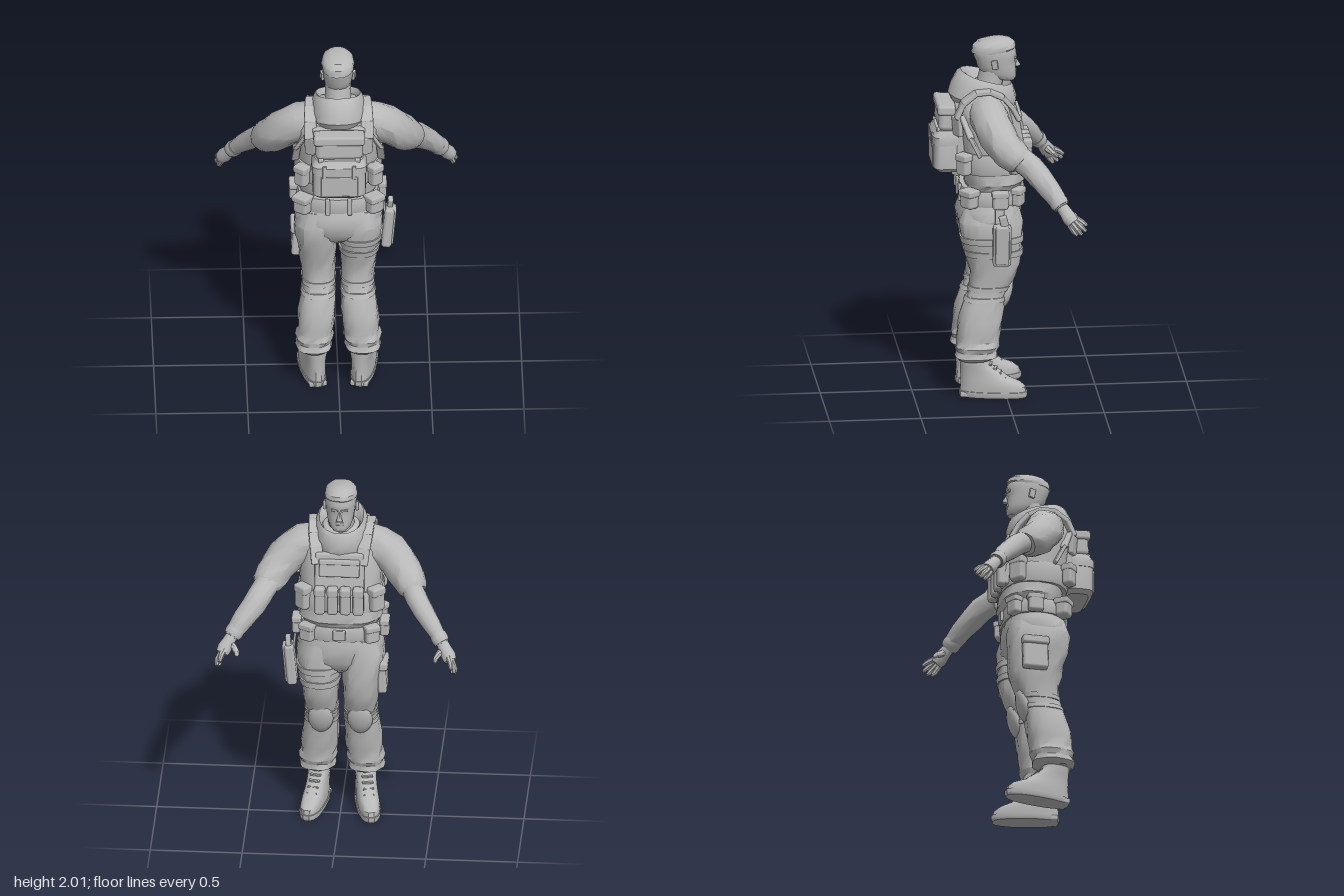
import * as THREE from 'three';
import { toCreasedNormals } from 'three/addons/utils/BufferGeometryUtils.js';
import { RoundedBoxGeometry } from 'three/addons/geometries/RoundedBoxGeometry.js';

const grey = new THREE.MeshStandardMaterial({ color: 0xb8b8b8 });
grey.name = 'plain grey';
const V = (x, y, z) => new THREE.Vector3(x, y, z);
const SIDES = [-1, 1];

// Skin a closed surface over rings of points, with end caps
function skin(rings, crease = 0.6) {
  const n = rings[0].length, pos = [], idx = [];
  rings.forEach(r => r.forEach(p => pos.push(p.x, p.y, p.z)));
  for (let i = 0; i < rings.length - 1; i++) for (let j = 0; j < n; j++) {
    const a = i * n + j, b = i * n + (j + 1) % n;
    idx.push(a, a + n, b, b, a + n, b + n);
  }
  [0, rings.length - 1].forEach((r, k) => {
    const c = rings[r].reduce((s, p) => s.add(p), V(0, 0, 0)).divideScalar(n), ci = pos.length / 3;
    pos.push(c.x, c.y, c.z);
    for (let j = 0; j < n; j++) {
      const a = r * n + j, b = r * n + (j + 1) % n;
      if (k) idx.push(ci, b, a); else idx.push(ci, a, b);
    }
  });
  const g = new THREE.BufferGeometry();
  g.setAttribute('position', new THREE.Float32BufferAttribute(pos, 3));
  g.setIndex(idx);
  return toCreasedNormals(g, crease);
}

// Repeatable cloth folds
const fold = (i, j, amount) => 1 + amount * (Math.sin(i * 2.7 + j * 1.9) + 0.6 * Math.sin(i * 5.1 - j * 2.3));
const soft = (v, e) => Math.sign(v) * Math.abs(v) ** e;

// Horizontal rings [y, cx, cz, rx, rz], low to high; slope raises the back edge
function stack(list, { n = 18, e = 0.8, folds = 0, slope = 0 } = {}) {
  return skin(list.map(([y, cx, cz, rx, rz], i) => Array.from({ length: n }, (_, j) => {
    const t = j / n * Math.PI * 2, f = fold(i, j, folds);
    return V(cx + rx * soft(Math.cos(t), e) * f, y + slope * Math.sin(t), cz + rz * soft(Math.sin(t), e) * f);
  })));
}

// Round limb along points [x, y, z, radius]
function limb(pts, { n = 12, folds = 0 } = {}) {
  const p = pts.map(q => V(q[0], q[1], q[2]));
  return skin(p.map((c, i) => {
    const d = p[Math.min(i + 1, p.length - 1)].clone().sub(p[Math.max(i - 1, 0)]).normalize();
    const v = V(0, 0, 1).addScaledVector(d, -d.z).normalize(), u = d.clone().cross(v);
    return Array.from({ length: n }, (_, j) => {
      const t = j / n * Math.PI * 2, r = pts[i][3] * fold(i, j, folds);
      return c.clone().addScaledVector(u, r * Math.cos(t)).addScaledVector(v, r * Math.sin(t));
    });
  }));
}

// Band wrapped round a ring table between two heights
function band(table, y0, y1, grow) {
  const at = y => {
    const i = Math.max(1, table.findIndex(r => r[0] >= y)), a = table[i - 1], b = table[i];
    const ring = a.map((v, k) => THREE.MathUtils.lerp(v, b[k], (y - a[0]) / (b[0] - a[0])));
    return [y, ring[1], ring[2], ring[3] + grow, ring[4] + grow];
  };
  return stack([at(y0), at((y0 + y1) / 2), at(y1)]);
}

export function createModel() {
  const model = new THREE.Group();
  model.name = 'soldier';
  const add = (name, geo, parent = model) => {
    const m = new THREE.Mesh(geo, grey);
    m.name = name;
    parent.add(m);
    return m;
  };
  const box = (name, [x, y, z], [w, h, d], [rx, ry, rz] = [0, 0, 0], parent = model) => {
    const m = add(name, new RoundedBoxGeometry(w, h, d, 1, Math.min(w, h, d) * 0.28), parent);
    m.position.set(x, y, z);
    m.rotation.set(rx, ry, rz);
    return m;
  };
  // Pouch with an overhanging flap
  const pouch = (name, p, [w, h, d], ry = 0) => {
    const g = new THREE.Group();
    g.name = name;
    g.position.set(...p);
    g.rotation.y = ry;
    box('pouchBody', [0, 0, 0], [w, h, d], undefined, g);
    box('pouchFlap', [0, h * 0.34, 0], [w * 1.08, h * 0.36, d * 1.12], undefined, g);
    model.add(g);
  };
  // Flat webbing made of short overlapping segments
  const strap = (name, pts, width, thick) => pts.slice(1).forEach((b, i) => {
    const a = V(...pts[i]), e = V(...b);
    const m = box(name, a.clone().add(e).multiplyScalar(0.5).toArray(), [width, thick, a.distanceTo(e) + 0.012]);
    m.lookAt(e);
  });

  // Torso and hips
  add('jacket', stack([[1.13, 0, 0.08, 0.2, 0.155], [1.19, 0, 0.062, 0.21, 0.15], [1.22, 0, 0.055, 0.228, 0.165],
    [1.26, 0, 0.06, 0.222, 0.165], [1.33, 0, 0.072, 0.22, 0.17], [1.42, 0, 0.085, 0.225, 0.168], [1.52, 0, 0.1, 0.23, 0.165],
    [1.61, 0, 0.115, 0.23, 0.155], [1.67, 0, 0.12, 0.19, 0.135], [1.72, 0, 0.115, 0.15, 0.11], [1.75, 0, 0.1, 0.08, 0.07]],
  { n: 22, folds: 0.012 }));
  add('hips', stack([[0.87, 0, 0.08, 0.07, 0.09], [0.91, 0, 0.08, 0.16, 0.14], [0.96, 0, 0.083, 0.222, 0.168],
    [1.02, 0, 0.085, 0.238, 0.176], [1.07, 0, 0.08, 0.228, 0.172], [1.14, 0, 0.075, 0.2, 0.15]], { n: 22, folds: 0.014 }));
  add('belt', stack([[1.1, 0, 0.075, 0.225, 0.168], [1.12, 0, 0.075, 0.23, 0.172], [1.17, 0, 0.075, 0.225, 0.17],
    [1.185, 0, 0.075, 0.22, 0.165]], { n: 24 }));
  box('beltBuckle', [0, 1.145, -0.1], [0.07, 0.06, 0.02]);

  // Head
  add('neck', limb([[0, 1.64, 0.1, 0.085], [0, 1.72, 0.08, 0.072], [0, 1.82, 0.06, 0.07]]));
  add('head', stack([[1.762, 0, -0.025, 0.035, 0.035], [1.78, 0, 0.01, 0.058, 0.08], [1.81, 0, 0.027, 0.071, 0.095],
    [1.85, 0, 0.04, 0.078, 0.106], [1.875, 0, 0.044, 0.082, 0.108], [1.9, 0, 0.046, 0.085, 0.117], [1.93, 0, 0.05, 0.087, 0.12],
    [1.965, 0, 0.052, 0.08, 0.11], [1.985, 0, 0.055, 0.06, 0.08]], { e: 0.9 }));
  add('hair', stack([[1.93, 0, 0.06, 0.086, 0.115], [1.945, 0, 0.052, 0.09, 0.121], [1.968, 0, 0.052, 0.085, 0.116],
    [1.988, 0, 0.055, 0.068, 0.092], [1.999, 0, 0.058, 0.04, 0.055]], { e: 0.9, folds: 0.012, slope: -0.008 }));
  const nose = add('nose', new THREE.ConeGeometry(0.018, 0.06, 4));
  nose.position.set(0, 1.866, -0.07);
  nose.rotation.x = 0.25;
  box('mouth', [0, 1.816, -0.062], [0.045, 0.018, 0.018]);
  for (const s of SIDES) {
    box('brow', [s * 0.026, 1.897, -0.062], [0.04, 0.014, 0.018], [0, s * -0.2, 0]);
    box('ear', [s * 0.086, 1.87, 0.055], [0.018, 0.052, 0.034], [0.15, s * -0.3, 0]);
  }

  // Lowered hood standing round the neck, hollow at the top
  add('hoodCollar', stack([[1.62, 0, 0.125, 0.13, 0.16], [1.66, 0, 0.12, 0.152, 0.185], [1.71, 0, 0.11, 0.15, 0.18],
    [1.77, 0, 0.1, 0.134, 0.155], [1.785, 0, 0.095, 0.122, 0.138], [1.765, 0, 0.09, 0.106, 0.118], [1.7, 0, 0.085, 0.085, 0.09]],
  { n: 20, e: 0.92, slope: 0.042, folds: 0.008 }));

  // Plate carrier
  box('frontPlate', [0, 1.46, -0.07], [0.27, 0.34, 0.05], [0.17, 0, 0]);
  box('backPlate', [0, 1.48, 0.25], [0.29, 0.36, 0.05]);
  box('chestPanel', [0, 1.55, -0.078], [0.22, 0.1, 0.03], [0.2, 0, 0]);
  box('chestPanelFlap', [0, 1.585, -0.076], [0.225, 0.03, 0.032], [0.2, 0, 0]);
  add('waistband', stack([[1.28, 0, 0.072, 0.232, 0.18], [1.3, 0, 0.075, 0.238, 0.183], [1.38, 0, 0.08, 0.238, 0.183],
    [1.4, 0, 0.082, 0.232, 0.178]], { n: 22 }));
  for (const x of [-0.105, -0.035, 0.035, 0.105]) pouch('magazinePouch', [x, 1.37, -0.12], [0.058, 0.16, 0.052]);
  for (const s of SIDES) {
    pouch('frontSidePouch', [s * 0.2, 1.355, -0.05], [0.085, 0.14, 0.06], s * -0.75);
    pouch('rearSidePouch', [s * 0.2, 1.345, 0.235], [0.075, 0.12, 0.06], s * 0.7);
    strap('shoulderStrap', [[0.15, 1.5, 0.262], [0.155, 1.6, 0.27], [0.155, 1.68, 0.235], [0.15, 1.735, 0.165], [0.145, 1.74, 0.09],
      [0.14, 1.705, 0.02], [0.13, 1.645, -0.03], [0.12, 1.57, -0.068]].map(([x, y, z]) => [s * x, y, z]), 0.068, 0.028);
    strap('carrierEdge', [[0.17, 1.61, 0.24], [0.225, 1.5, 0.2], [0.235, 1.4, 0.15]].map(([x, y, z]) => [s * x, y, z]), 0.04, 0.02);
  }

  // Back pack: upper and lower pouches
  box('upperPack', [0, 1.585, 0.315], [0.26, 0.15, 0.1], [-0.05, 0, 0]);
  box('upperPackFlap', [0, 1.63, 0.322], [0.28, 0.055, 0.1], [-0.05, 0, 0]);
  add('lowerPack', stack([[1.278, 0, 0.31, 0.125, 0.06], [1.3, 0, 0.315, 0.145, 0.08], [1.48, 0, 0.315, 0.147, 0.08],
    [1.512, 0, 0.31, 0.13, 0.06]], { n: 20, e: 0.45 }));
  add('lowerPackFlap', stack([[1.435, 0, 0.315, 0.15, 0.084], [1.48, 0, 0.315, 0.152, 0.084], [1.516, 0, 0.31, 0.132, 0.064]],
    { n: 20, e: 0.45 }));
  box('lowerPackPanel', [0, 1.365, 0.39], [0.2, 0.12, 0.018]);
  for (const s of SIDES) {
    box('packStrap', [s * 0.08, 1.455, 0.396], [0.022, 0.08, 0.012]);
    box('packBuckle', [s * 0.1, 1.515, 0.36], [0.03, 0.025, 0.03]);
  }

  // Belt pouches, on both halves
  for (const s of SIDES) {
    pouch('rearBeltPouch', [s * 0.195, 1.145, 0.205], [0.09, 0.105, 0.075], s * 0.65);
    pouch('sideBeltPouch', [s * 0.24, 1.145, 0.04], [0.05, 0.1, 0.085]);
    pouch('frontBeltPouch', [s * 0.175, 1.145, -0.065], [0.08, 0.1, 0.055], s * -0.5);
    box('beltLoop', [s * 0.06, 1.145, 0.245], [0.025, 0.1, 0.02]);
  }

  // Legs and boots
  for (const s of SIDES) {
    const rings = [[0.212, 0.13, 0.168, 0.078, 0.09], [0.232, 0.133, 0.162, 0.1, 0.118], [0.262, 0.132, 0.158, 0.092, 0.108],
      [0.29, 0.13, 0.155, 0.104, 0.12], [0.32, 0.126, 0.15, 0.094, 0.114], [0.37, 0.121, 0.147, 0.102, 0.119],
      [0.44, 0.117, 0.136, 0.102, 0.12], [0.52, 0.11, 0.12, 0.095, 0.115], [0.58, 0.106, 0.1, 0.087, 0.108],
      [0.64, 0.106, 0.08, 0.09, 0.115], [0.7, 0.11, 0.065, 0.096, 0.128], [0.76, 0.112, 0.062, 0.102, 0.145],
      [0.83, 0.114, 0.068, 0.108, 0.155], [0.9, 0.119, 0.077, 0.117, 0.167], [1.0, 0.122, 0.085, 0.118, 0.172],
      [1.09, 0.1, 0.08, 0.1, 0.15]].map(([y, x, ...r]) => [y, s * x, ...r]);
    add('trouserLeg', stack(rings, { folds: 0.028 }));
    for (const y of [0.545, 0.605]) add('kneeStrap', band(rings, y, y + 0.025, 0.006));
    const pad = add('kneePad', new THREE.SphereGeometry(1, 12, 8));
    pad.scale.set(0.07, 0.1, 0.035);
    pad.position.set(s * 0.107, 0.585, -0.002);
    pad.rotation.x = -0.25;

    const boot = new THREE.Group();
    boot.name = 'boot';
    boot.position.set(s * 0.122, 0, 0.18);
    boot.rotation.y = -s * 0.19;
    model.add(boot);
    add('sole', stack([[0, 0, -0.113, 0.06, 0.182], [0.012, 0, -0.113, 0.066, 0.188], [0.034, 0, -0.113, 0.066, 0.188]]), boot);
    box('heelBlock', [0, 0.015, 0.015], [0.1, 0.03, 0.1], undefined, boot);
    add('bootUpper', stack([[0.03, 0, -0.112, 0.06, 0.182], [0.06, 0, -0.11, 0.062, 0.178], [0.085, 0, -0.095, 0.06, 0.162],
      [0.11, 0, -0.065, 0.058, 0.132], [0.14, 0, -0.045, 0.056, 0.113], [0.17, 0, -0.022, 0.058, 0.09],
      [0.2, 0, -0.008, 0.062, 0.078], [0.25, 0, -0.005, 0.064, 0.078]]), boot);
    for (let i = 0; i < 4; i++) box('lace', [0, 0.112 + i * 0.024, -0.175 + i * 0.026], [0.06, 0.01, 0.02], undefined, boot);

    if (s > 0) { // Thigh holster
      for (const y of [0.805, 0.885]) add('holsterStrap', band(rings, y, y + 0.035, 0.008));
      box('holster', [0.272, 0.9, 0.035], [0.055, 0.24, 0.1], [0, 0, -0.09]);
      box('holsterCover', [0.295, 0.905, 0.035], [0.03, 0.22, 0.075], [0, 0, -0.09]);
      box('pistolGrip', [0.285, 1.035, 0.025], [0.03, 0.075, 0.045], [0.25, 0, -0.09]);
      box('holsterHanger', [0.25, 1.06, 0.045], [0.015, 0.13, 0.05], [0, 0, 0.1]);
    } else { // Cargo pocket
      box('cargoPocket', [-0.226, 0.85, 0.04], [0.05, 0.19, 0.14], [0, 0, -0.05]);
      box('cargoPocketFlap', [-0.232, 0.92, 0.04], [0.055, 0.05, 0.15], [0, 0, -0.05]);
    }
  }

  // Arms: one long sleeve, one rolled to the elbow
  for (const s of SIDES) {
    const m = pts => pts.map(([x, ...r]) => [s * x, ...r]);
    add('upperSleeve', limb(m([[0.12, 1.635, 0.11, 0.095], [0.2, 1.61, 0.1, 0.105], [0.26, 1.575, 0.083, 0.104], [0.305, 1.535, 0.06, 0.102],
      [0.345, 1.49, 0.03, 0.098], [0.375, 1.452, -0.005, 0.092], [0.4, 1.422, -0.045, 0.082], [0.41, 1.408, -0.06, 0.066]]),
    { n: 14, folds: 0.03 }));
    box('shoulderPatch', [s * 0.318, 1.61, 0.06], [0.02, 0.1, 0.1], [0, s * 0.4, s * 0.75]);
    const r = s > 0 ? 0.01 : 0;
    add(s > 0 ? 'lowerSleeve' : 'bareForearm', limb(m([[0.37, 1.46, -0.01, 0.06 + r], [0.425, 1.39, -0.11, 0.06 + r],
      [0.465, 1.34, -0.155, 0.057 + r], [0.512, 1.287, -0.203, 0.05 + r], [0.55, 1.24, -0.238, 0.041 + r], [0.577, 1.205, -0.263, 0.036 + r / 2]]),
    { folds: s > 0 ? 0.03 : 0 }));
    add(s > 0 ? 'cuff' : 'wristStrap', limb(m([[0.547, 1.244, -0.234, 0.046 + r / 2], [0.562, 1.224, -0.249, 0.048 + r / 2],
      [0.574, 1.209, -0.26, 0.042 + r / 2]])));
    add('palm', limb(m([[0.57, 1.213, -0.257, 0.033], [0.588, 1.185, -0.278, 0.036], [0.61, 1.152, -0.3, 0.041], [0.622, 1.13, -0.318, 0.036]])));
    // Index to little finger, fanned downward
    const fingers = [[[0.61, 1.16, -0.32], [0.625, 1.138, -0.362], [0.63, 1.115, -0.392]],
      [[0.622, 1.148, -0.318], [0.645, 1.115, -0.358], [0.645, 1.088, -0.385]],
      [[0.628, 1.133, -0.31], [0.649, 1.095, -0.342], [0.645, 1.07, -0.362]],
      [[0.622, 1.12, -0.3], [0.637, 1.083, -0.322], [0.633, 1.063, -0.338]]];
    for (const f of fingers) add('finger', limb(m(f.map((p, i) => [...p, [0.018, 0.015, 0.01][i]])), { n: 7 }));
    add('thumb', limb(m([[0.585, 1.18, -0.285, 0.024], [0.556, 1.162, -0.308, 0.018], [0.54, 1.145, -0.335, 0.015], [0.54, 1.13, -0.352, 0.009]]), { n: 7 }));
  }
  return model;
}
